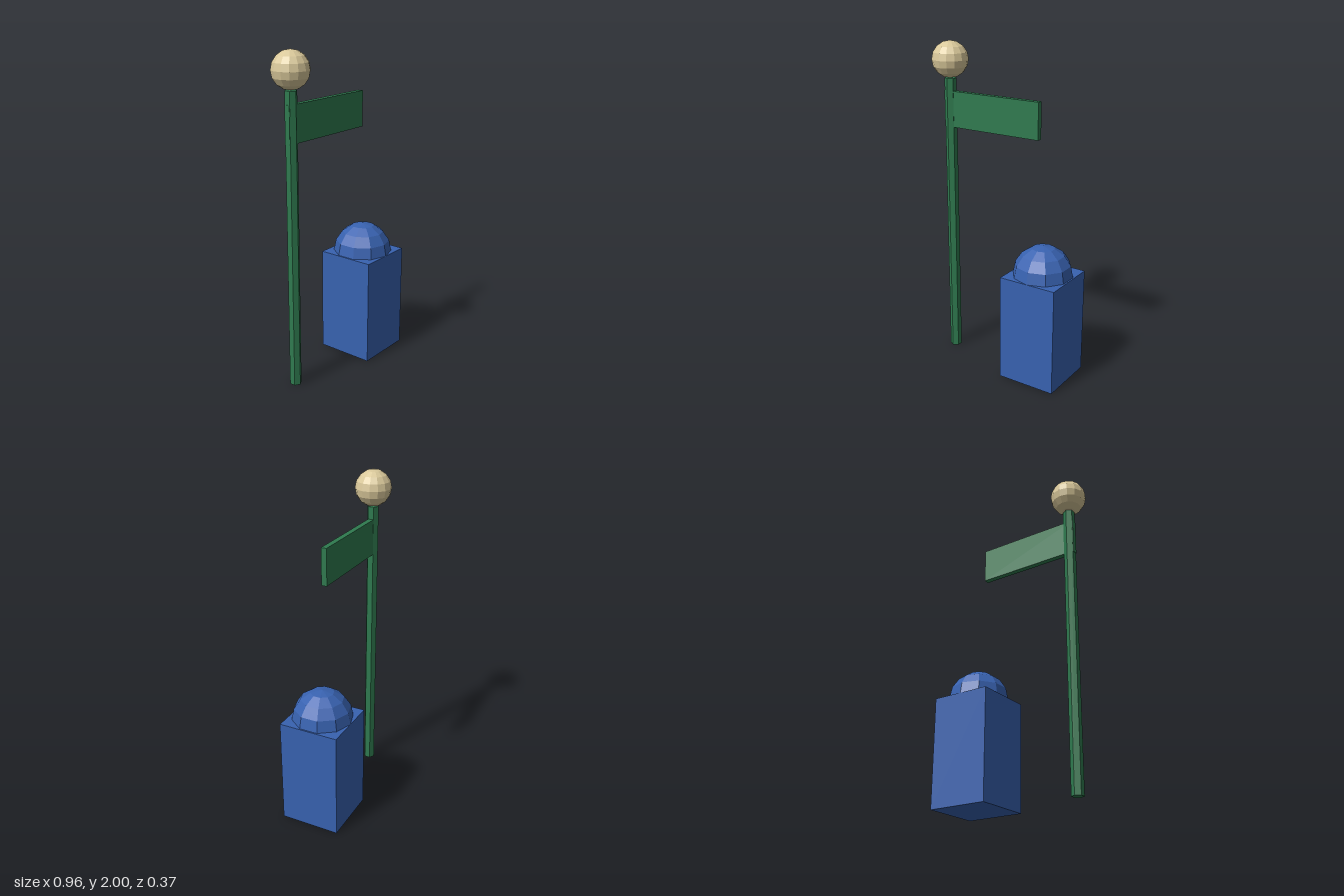
import * as THREE from 'three';

const flat = (name, color) => {
  const m = new THREE.MeshStandardMaterial({ color, flatShading: true });
  m.name = name;
  return m;
};

export function createModel() {
  const green = flat('signGreen', 0x2f7a4f);
  const blue = flat('boxBlue', 0x3862b0);
  const tan = flat('finialTan', 0xd9c89a);

  const model = new THREE.Group();
  model.name = 'signpostAndBin';
  const add = (parent, name, geometry, material, x, y) => {
    const mesh = new THREE.Mesh(geometry, material);
    mesh.name = name;
    mesh.position.set(x, y, 0);
    parent.add(mesh);
    return mesh;
  };

  // Signpost: hexagonal pole, thin board running through it, faceted ball on top
  const signpost = new THREE.Group();
  signpost.name = 'signpost';
  const poleX = -0.372;
  add(signpost, 'pole', new THREE.CylinderGeometry(0.036, 0.036, 1.78, 6), green, poleX, 0.89);
  add(signpost, 'signBoard', new THREE.BoxGeometry(0.661, 0.219, 0.034), green, -0.076, 1.594);
  const ball = new THREE.SphereGeometry(0.11, 14, 8).rotateY(Math.PI / 2);
  add(signpost, 'finialBall', ball, tan, poleX, 1.89);

  // Bin: square box with a ten-sided dome
  const bin = new THREE.Group();
  bin.name = 'bin';
  const binX = 0.293, boxHeight = 0.666, half = 0.184;
  add(bin, 'binBody', new THREE.BoxGeometry(half * 2, boxHeight, half * 2), blue, binX, boxHeight / 2);
  const dome = new THREE.SphereGeometry(half, 10, 4, 0, Math.PI * 2, 0, Math.PI / 2).rotateY(Math.PI / 2);
  add(bin, 'binDome', dome, blue, binX, boxHeight);

  model.add(signpost, bin);
  return model;
}
